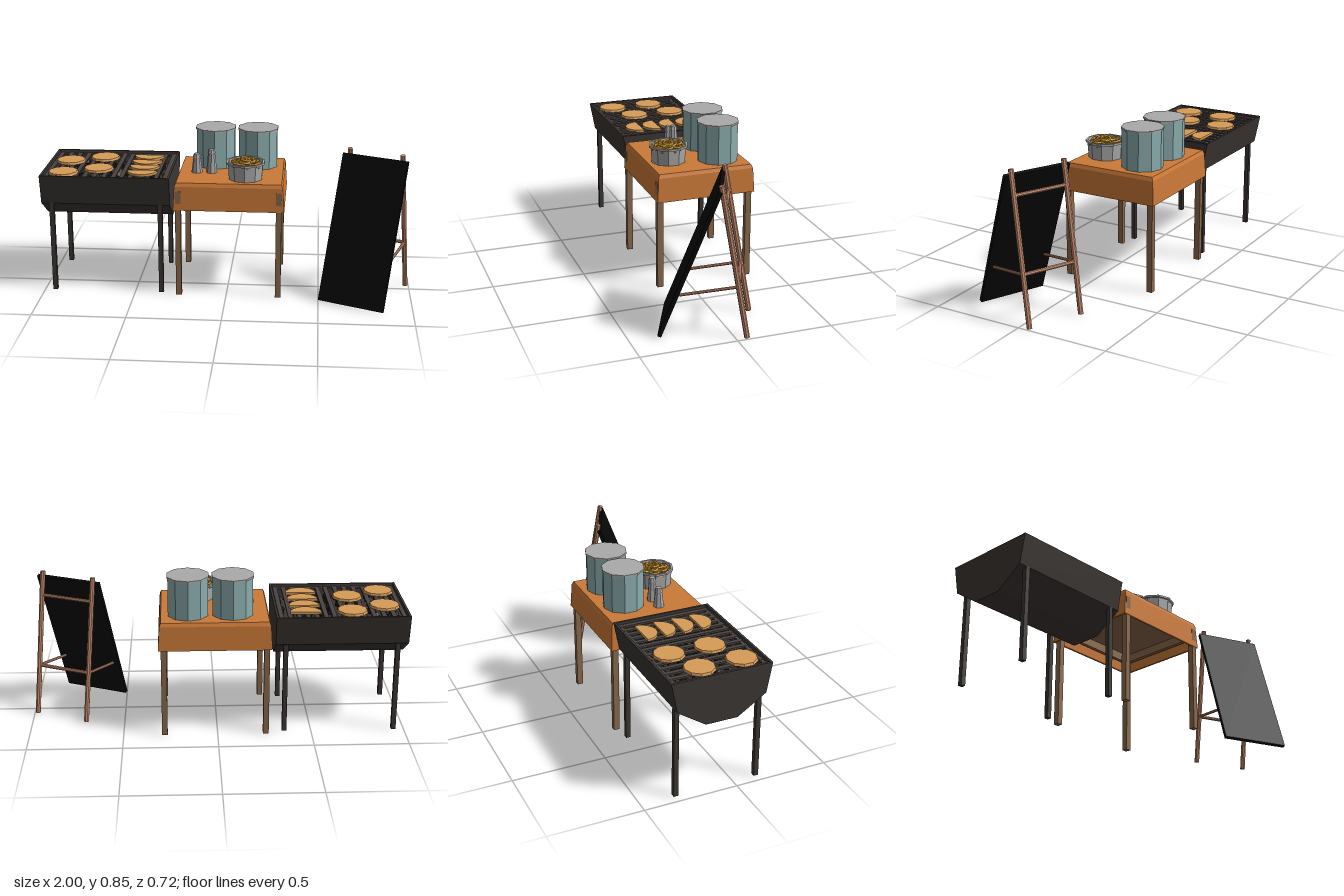
import * as THREE from 'three';

const mat = (color, side = THREE.FrontSide) =>
  new THREE.MeshStandardMaterial({ color, flatShading: true, side });
const IRON = mat(0x3b3633), BAR = mat(0x4a4441), COAL = mat(0x1c1a19), CLOTH = mat(0xcc7a38);
const WOOD = mat(0x8a6a4c), STEEL = mat(0xaaaaaa), TEAL = mat(0x8cadae), DOUGH = mat(0xd69c58);
const GOLD = mat(0xcf962c), PINE = mat(0xcb9070), BLACK = mat(0x070707);
const BOWL = mat(0xaaaaaa, THREE.DoubleSide);

function add(parent, name, geo, material, x = 0, y = 0, z = 0) {
  const m = new THREE.Mesh(geo, material);
  m.name = name;
  m.position.set(x, y, z);
  parent.add(m);
  return m;
}
const box = (w, h, d) => new THREE.BoxGeometry(w, h, d);
const cyl = (rt, rb, h, n) => new THREE.CylinderGeometry(rt, rb, h, n);

function group(parent, name) {
  const g = new THREE.Group();
  g.name = name;
  parent.add(g);
  return g;
}

// Skin over rectangular sections [y, x0, x1, z0, z1], capped at both ends
function loft(sections) {
  const rings = sections.map(([y, x0, x1, z0, z1]) =>
    [[x0, y, z1], [x1, y, z1], [x1, y, z0], [x0, y, z0]]);
  const pos = [];
  const quad = (a, b, c, d) => [a, b, c, a, c, d].forEach(p => pos.push(...p));
  for (let i = 0; i < rings.length - 1; i++)
    for (let k = 0; k < 4; k++) {
      const n = (k + 1) % 4;
      quad(rings[i][k], rings[i][n], rings[i + 1][n], rings[i + 1][k]);
    }
  const s = rings[0];
  quad(s[3], s[2], s[1], s[0]);
  quad(...rings[rings.length - 1]);
  const g = new THREE.BufferGeometry();
  g.setAttribute('position', new THREE.Float32BufferAttribute(pos, 3));
  g.computeVertexNormals();
  return g;
}

// Round pole between two points
function pole(parent, name, a, b, r, material) {
  const A = new THREE.Vector3(...a), B = new THREE.Vector3(...b);
  const m = add(parent, name, cyl(r, r, A.distanceTo(B), 8), material);
  m.position.copy(A).lerp(B, 0.5);
  m.quaternion.setFromUnitVectors(new THREE.Vector3(0, 1, 0), B.sub(A).normalize());
  return m;
}

let seed = 7;
const rnd = () => (seed = (seed * 16807) % 2147483647) / 2147483647;

function buildGrill(root) {
  const g = group(root, 'grill');
  // Hollow trough: tapered outside, rim, then the inside down to its floor
  add(g, 'grillTrough', loft([
    [0.4, -1, -0.303, -0.18, -0.01],
    [0.5, -1, -0.303, -0.33, 0.142],
    [0.66, -1, -0.303, -0.362, 0.172],
    [0.66, -0.988, -0.315, -0.35, 0.16],
    [0.59, -0.988, -0.315, -0.34, 0.15],
  ]), IRON);
  for (const x of [-0.945, -0.357])
    for (const z of [-0.313, 0.13])
      add(g, 'grillLeg', box(0.025, 0.54, 0.025), IRON, x, 0.27, z);

  // Coal bed
  for (let i = 0; i < 12; i++)
    for (let j = 0; j < 8; j++) {
      const c = add(g, 'coal', new THREE.DodecahedronGeometry(0.018 + rnd() * 0.008), COAL,
        -0.955 + i * 0.055 + rnd() * 0.015, 0.6, -0.31 + j * 0.058 + rnd() * 0.02);
      c.rotation.set(rnd() * 3, rnd() * 3, 0);
    }

  // Two grates with bars running front to back
  for (const [x0, x1, n] of [[-0.984, -0.598, 8], [-0.578, -0.32, 6]]) {
    const grate = group(g, 'grate'), step = (x1 - x0 - 0.024) / (n - 1);
    for (let i = 0; i < n; i++)
      add(grate, 'grateBar', box(0.024, 0.01, 0.5), BAR, x0 + 0.012 + i * step, 0.642, -0.095);
    for (const z of [-0.335, 0.145])
      add(grate, 'grateEnd', box(x1 - x0, 0.009, 0.018), BAR, (x0 + x1) / 2, 0.641, z);
  }

  // Flat cakes and half-moon pastries
  for (const [x, z] of [[-0.89, -0.165], [-0.89, 0.06], [-0.71, -0.24], [-0.71, -0.02]])
    add(g, 'flatCake', cyl(0.078, 0.082, 0.013, 10), DOUGH, x, 0.653, z);
  const half = new THREE.Shape();
  half.absarc(0, 0, 0.082, 0, Math.PI);
  const halfGeo = new THREE.ExtrudeGeometry(half, { depth: 0.013, bevelEnabled: false, curveSegments: 6 })
    .rotateX(Math.PI / 2);
  for (let i = 0; i < 4; i++)
    add(g, 'halfMoonPastry', halfGeo, DOUGH, -0.463, 0.66, -0.277 + i * 0.1);
}

function buildTable(root) {
  const g = group(root, 'table');
  // Cloth cover, hollow below
  add(g, 'tableCover', loft([
    [0.6, -0.262, 0.288, -0.342, 0.152],
    [0.485, -0.274, 0.3, -0.354, 0.164],
    [0.485, -0.284, 0.31, -0.365, 0.175],
    [0.615, -0.276, 0.302, -0.358, 0.168],
    [0.635, -0.268, 0.294, -0.35, 0.16],
  ]), CLOTH);
  // Wooden top and apron under the cover
  add(g, 'tableTop', box(0.545, 0.03, 0.49), WOOD, 0.013, 0.586, -0.095);
  for (const s of [-1, 1]) {
    add(g, 'apronLong', box(0.5, 0.05, 0.02), WOOD, 0.013, 0.55, -0.095 + s * 0.225);
    add(g, 'apronShort', box(0.02, 0.05, 0.45), WOOD, 0.013 + s * 0.25, 0.55, -0.095);
  }
  for (const x of [-0.257, 0.281])
    for (const z of [-0.338, 0.157])
      add(g, 'tableLeg', box(0.03, 0.59, 0.032), WOOD, x, 0.295, z);

  // Stock pots
  for (const x of [-0.082, 0.152]) {
    const pot = group(g, 'pot');
    add(pot, 'potBody', cyl(0.11, 0.11, 0.207, 10), TEAL, x, 0.7375, -0.213);
    add(pot, 'potLid', cyl(0.114, 0.114, 0.01, 10), STEEL, x, 0.846, -0.213);
  }

  // Shakers
  for (const [x, h] of [[-0.174, 0.105], [-0.094, 0.13]]) {
    const shaker = group(g, 'shaker');
    add(shaker, 'shakerBody', cyl(0.019, 0.03, h - 0.02, 8), STEEL, x, 0.635 + (h - 0.02) / 2, -0.05);
    add(shaker, 'shakerCap', cyl(0.016, 0.022, 0.02, 8), STEEL, x, 0.625 + h, -0.05);
  }

  // Bowl of fried rings
  const bowl = group(g, 'ringBowl');
  bowl.position.set(0.097, 0.635, 0.045);
  const profile = [[0, 0.002], [0.092, 0], [0.098, 0.083], [0.107, 0.084], [0.107, 0.095], [0.095, 0.095], [0.088, 0.06], [0, 0.06]];
  add(bowl, 'bowlShell', new THREE.LatheGeometry(profile.map(p => new THREE.Vector2(...p)), 10), BOWL);
  const ringGeo = new THREE.TorusGeometry(0.024, 0.008, 5, 9);
  for (const [n, r, y] of [[8, 0.064, 0.076], [6, 0.052, 0.088], [3, 0.026, 0.094], [1, 0, 0.101]])
    for (let i = 0; i < n; i++) {
      const a = (i / n) * Math.PI * 2 + y * 40;
      const ring = add(bowl, 'friedRing', ringGeo, GOLD, Math.cos(a) * r, y, Math.sin(a) * r);
      ring.rotation.set(Math.PI / 2 + (rnd() - 0.5) * 0.45, (rnd() - 0.5) * 0.45, 0);
    }
}

function buildSign(root) {
  const g = group(root, 'standingSign');
  g.position.set(0.668, 0, 0.283);
  g.rotation.y = -0.419;

  // Leaning board
  const lean = 0.365;
  const board = add(g, 'signBoard', box(0.37, 0.806, 0.02).translate(0, 0.403, -0.01), BLACK, 0, 0.007, 0);
  board.rotation.x = -lean;

  // Rear poles, cross rails and struts to the board
  const depthAt = y => -0.437 + 0.135 * y / 0.785;
  for (const s of [-1, 1]) {
    const x = s * 0.15;
    pole(g, 'signPole', [x, 0.002, depthAt(0)], [x, 0.785, depthAt(0.785)], 0.014, PINE);
    pole(g, 'signStrut', [x, 0.27, depthAt(0.27)], [x, 0.216, -0.105], 0.008, PINE);
  }
  for (const y of [0.27, 0.656])
    pole(g, 'signRail', [-0.15, y, depthAt(y)], [0.15, y, depthAt(y)], 0.01, PINE);
}

export function createModel() {
  const root = new THREE.Group();
  root.name = 'streetFoodStall';
  buildGrill(root);
  buildTable(root);
  buildSign(root);
  return root;
}
